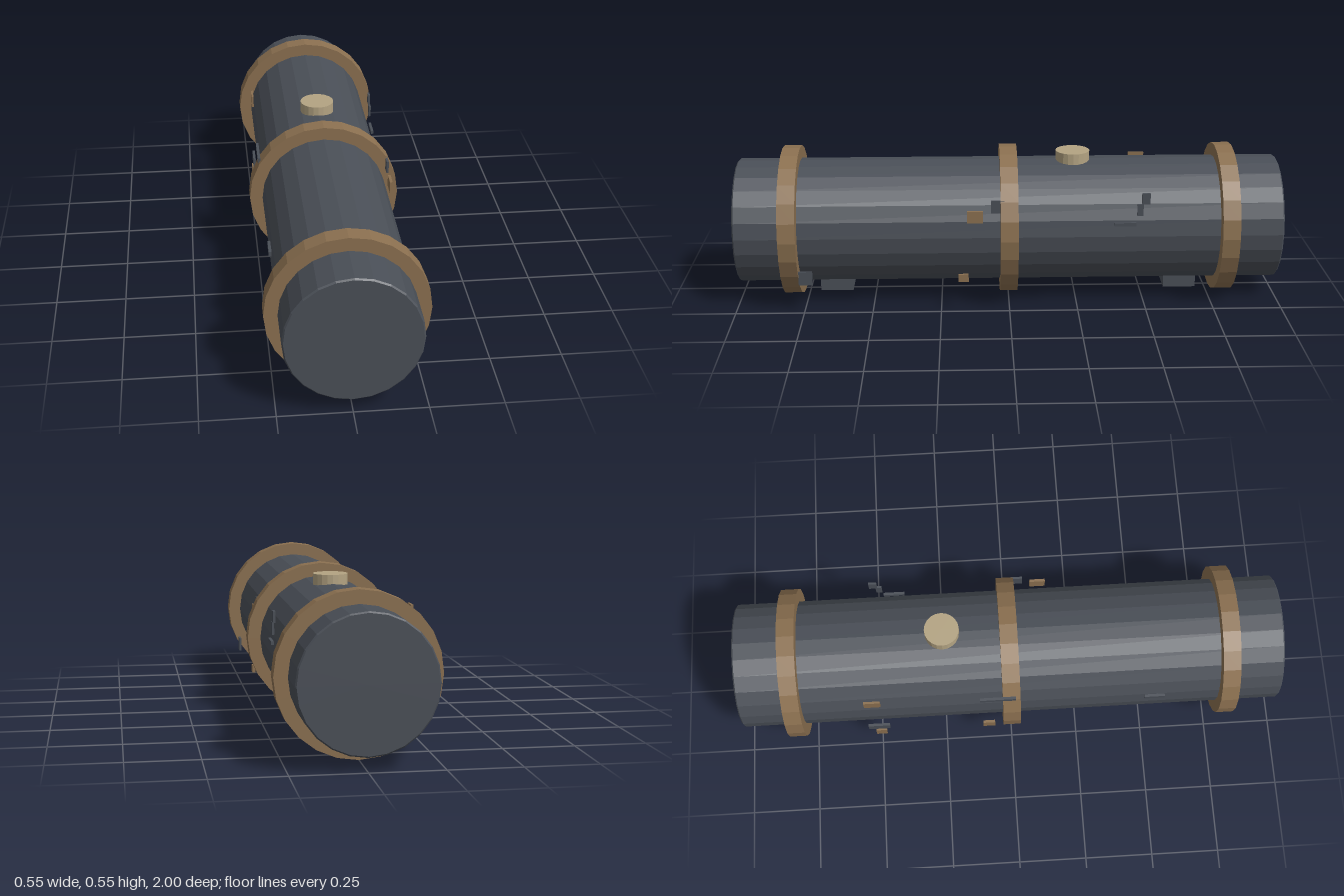
import * as THREE from 'three';

const AXIS_Y = 0.278;
const steel = new THREE.MeshStandardMaterial({ color: 0x4a4f57, flatShading: true });
steel.name = 'darkSteel';
const bronze = new THREE.MeshStandardMaterial({ color: 0x8b7050, flatShading: true });
bronze.name = 'bronze';
const tan = new THREE.MeshStandardMaterial({ color: 0xb3a382, flatShading: true });
tan.name = 'paleTan';

export function createModel() {
  const model = new THREE.Group();
  model.name = 'cylinderModule';

  function add(name, geometry, material, x, y, z) {
    const mesh = new THREE.Mesh(geometry, material);
    mesh.name = name;
    mesh.position.set(x, y, z);
    model.add(mesh);
    return mesh;
  }

  // Long hull with a slim chamfer at both ends
  const profile = [[0, -1], [0.225, -1], [0.23, -0.995], [0.23, 0.995], [0.225, 1], [0, 1]]
    .map(([r, y]) => new THREE.Vector2(r, y));
  const hull = new THREE.LatheGeometry(profile, 24).rotateX(Math.PI / 2);
  add('hull', hull, steel, 0, AXIS_Y, 0);

  // Three raised bands
  const band = new THREE.CylinderGeometry(0.277, 0.277, 0.064, 24).rotateX(Math.PI / 2);
  for (const z of [-0.8, 0, 0.8]) add('band', band, bronze, 0, AXIS_Y, z);

  // Hatch on top
  add('hatch', new THREE.CylinderGeometry(0.063, 0.063, 0.04, 20), tan, 0, 0.52, -0.24);

  // Two cross feet underneath
  for (const z of [-0.64, 0.64]) {
    add('foot', new THREE.BoxGeometry(0.23, 0.046, 0.12), steel, 0, 0.058, z);
  }

  // Small side panels: material, x, y, z, thickness, height, length
  const panels = [
    [bronze, 0.236, 0.36, 0.124, 0.010, 0.044, 0.058],
    [steel, 0.234, 0.398, 0.043, 0.008, 0.046, 0.048],
    [bronze, 0.236, 0.127, 0.168, 0.010, 0.028, 0.038],
    [steel, 0.234, 0.130, 0.742, 0.008, 0.052, 0.050],
    [steel, 0.235, 0.327, -0.418, 0.010, 0.013, 0.078],
    [steel, 0.235, 0.382, -0.471, 0.008, 0.044, 0.022],
    [steel, 0.234, 0.424, -0.491, 0.008, 0.040, 0.030],
    [bronze, -0.236, 0.438, -0.505, 0.008, 0.044, 0.060],
    [bronze, -0.238, 0.122, -0.495, 0.012, 0.044, 0.040],
    [steel, -0.235, 0.170, -0.500, 0.010, 0.035, 0.080],
    [steel, -0.239, 0.424, -0.050, 0.010, 0.017, 0.130],
    [bronze, -0.238, 0.140, -0.085, 0.010, 0.040, 0.045],
    [steel, -0.235, 0.348, 0.525, 0.010, 0.018, 0.075],
  ];
  for (const [material, x, y, z, t, h, l] of panels) {
    add('sidePanel', new THREE.BoxGeometry(t, h, l), material, x, y, z);
  }
  return model;
}
